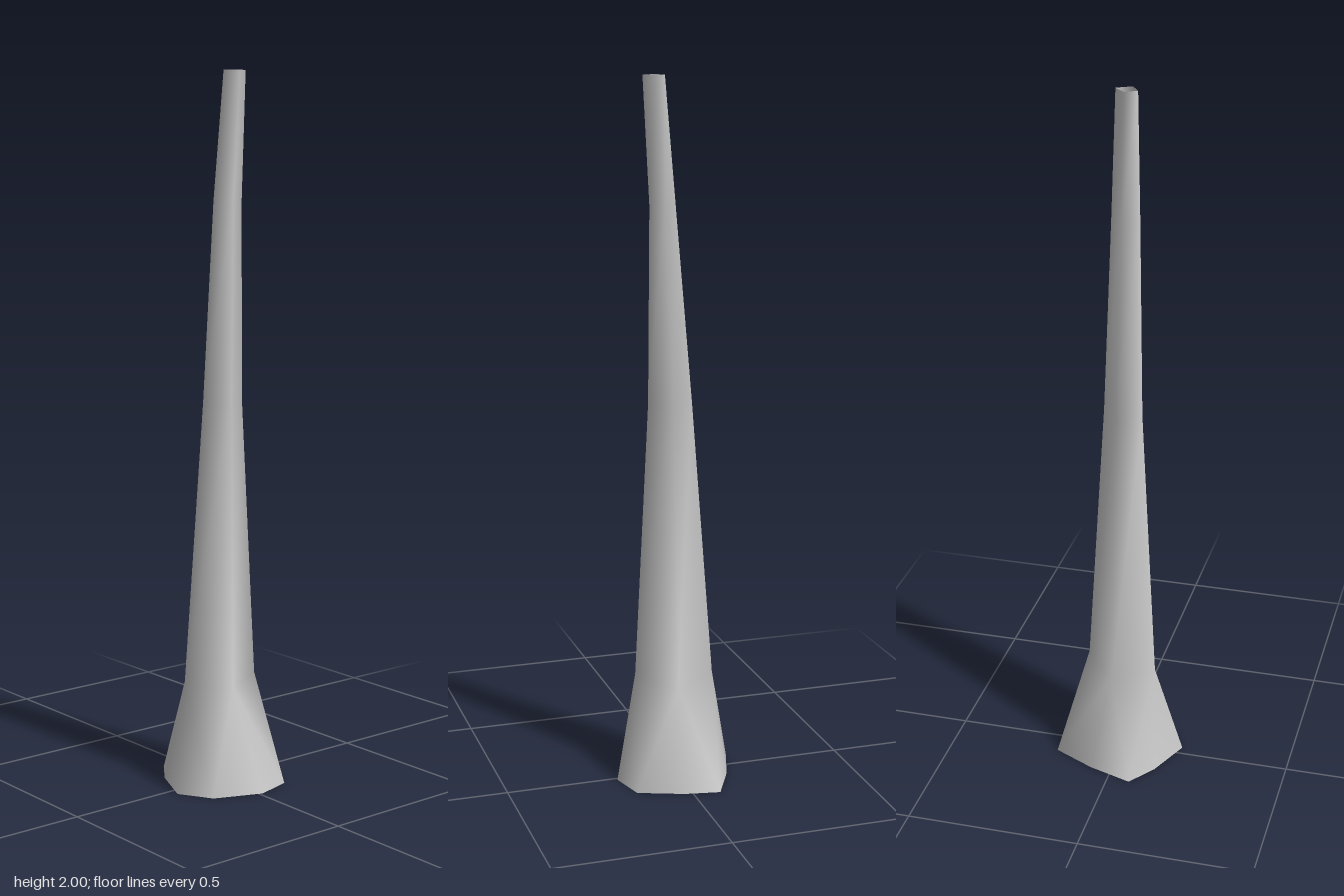
import * as THREE from 'three';

// Flared root outline at ground level, [x, z]
const BASE = [
  [0.15, -0.115], [0.178, -0.01], [0.123, 0.123], [0.03, 0.178], [-0.1, 0.123],
  [-0.18, 0.065], [-0.137, -0.063], [-0.077, -0.182], [0.024, -0.163],
];

// Four-cornered trunk sections going up, leaning towards +x
const SECTIONS = [
  { y: 0.3, pts: [[0.108, 0.04], [-0.028, 0.105], [-0.11, -0.005], [0.024, -0.108]] },
  { y: 1.1, pts: [[0.073, 0.018], [-0.003, 0.057], [-0.047, -0.008], [0.024, -0.06]] },
  { y: 1.65, pts: [[0.07, 0.01], [0.024, 0.042], [0.0, -0.006], [0.042, -0.043]] },
  { y: 2, pts: [[0.09, 0.004], [0.05, 0.028], [0.03, -0.005], [0.065, -0.037]] },
];

// First base point touched by each corner of the lowest section
const FAN = [0, 2, 5, 7, 9];

export function createModel() {
  const positions = [];
  const index = [];
  const addRing = (pts, y) => {
    const start = positions.length / 3;
    pts.forEach(([x, z]) => positions.push(x, y, z));
    return start;
  };

  // Root flare: each trunk corner fans out to its share of the base
  const base = addRing(BASE, 0);
  const rings = SECTIONS.map((s) => addRing(s.pts, s.y));
  const n = BASE.length;
  for (let c = 0; c < 4; c++) {
    const top = rings[0] + c;
    const next = rings[0] + (c + 1) % 4;
    for (let i = FAN[c]; i < FAN[c + 1]; i++) {
      index.push(base + i, top, base + (i + 1) % n);
    }
    index.push(base + FAN[c + 1] % n, top, next);
  }

  // Trunk walls between successive sections
  for (let r = 0; r < rings.length - 1; r++) {
    for (let c = 0; c < 4; c++) {
      const d = (c + 1) % 4;
      const a = rings[r] + c, b = rings[r] + d;
      const e = rings[r + 1] + c, f = rings[r + 1] + d;
      index.push(a, e, b, b, e, f);
    }
  }

  const geometry = new THREE.BufferGeometry();
  geometry.setAttribute('position', new THREE.Float32BufferAttribute(positions, 3));
  geometry.setIndex(index);
  geometry.computeVertexNormals();

  // Open at both ends, so the inside shows too
  const trunk = new THREE.Mesh(
    geometry,
    new THREE.MeshStandardMaterial({ color: 0xcccccc, side: THREE.DoubleSide }),
  );
  trunk.name = 'trunk';

  const model = new THREE.Group();
  model.name = 'taperedTrunk';
  model.add(trunk);
  return model;
}
